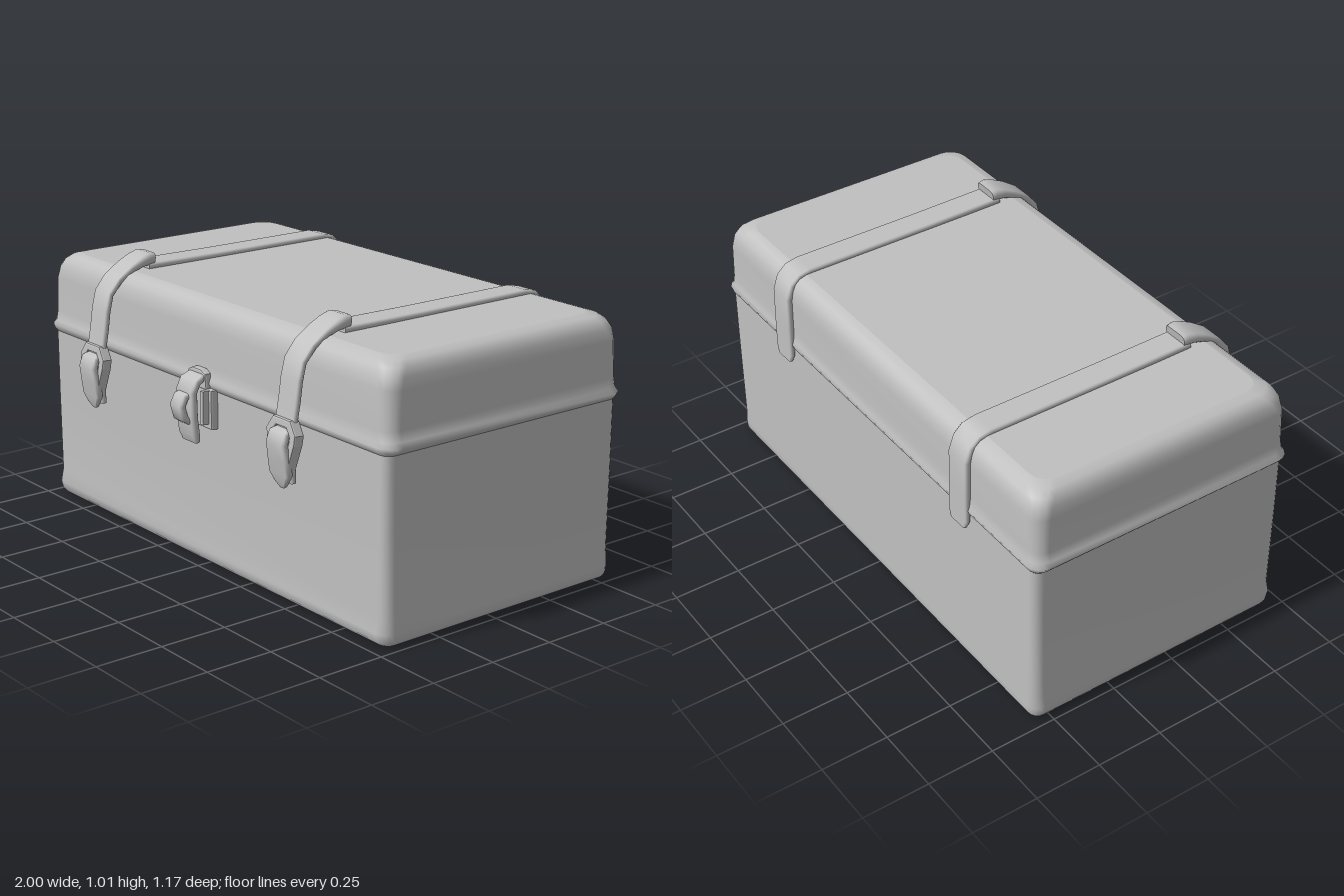
import * as THREE from 'three';

const grey = new THREE.MeshStandardMaterial({ color: 0xc0c0c0 });
grey.name = 'plain grey';

// Skin over closed rings of points, with flat caps at both ends
function skin(rings) {
  const n = rings[0].length, pos = [], idx = [];
  rings.forEach(r => r.forEach(p => pos.push(p.x, p.y, p.z)));
  for (let i = 0; i < rings.length - 1; i++) {
    for (let j = 0; j < n; j++) {
      const a = i * n + j, b = i * n + (j + 1) % n;
      idx.push(a, b, a + n, b, b + n, a + n);
    }
  }
  [rings[0], rings[rings.length - 1]].forEach((r, end) => {
    const base = pos.length / 3;
    const c = r.reduce((s, p) => s.add(p), new THREE.Vector3()).divideScalar(n);
    [...r, c].forEach(p => pos.push(p.x, p.y, p.z));
    for (let j = 0; j < n; j++) {
      const a = base + j, b = base + (j + 1) % n;
      if (end) idx.push(a, b, base + n);
      else idx.push(b, a, base + n);
    }
  });
  const g = new THREE.BufferGeometry();
  g.setAttribute('position', new THREE.Float32BufferAttribute(pos, 3));
  g.setIndex(idx);
  g.computeVertexNormals();
  return g;
}

// Rounded rectangle, counter-clockwise in (u, v)
function roundedRect(hu, hv, r, steps) {
  const out = [];
  [[1, 1], [-1, 1], [-1, -1], [1, -1]].forEach(([su, sv], q) => {
    for (let k = 0; k <= steps; k++) {
      const a = (q + k / steps) * Math.PI / 2;
      out.push([su * (hu - r) + r * Math.cos(a), sv * (hv - r) + r * Math.sin(a)]);
    }
  });
  return out;
}

// Box-like shell from levels of [y, half width, back z, front z, corner radius]
function shell(levels) {
  return skin(levels.map(([y, hx, z0, z1, r]) =>
    roundedRect(hx, (z1 - z0) / 2, r, 4).map(([u, v]) =>
      new THREE.Vector3(u, y, (z0 + z1) / 2 - v))));
}

// Band swept through [z, y, half width, half thickness] in the side plane
function band(path) {
  return skin(path.map(([z, y, w, t], i) => {
    const a = path[Math.max(i - 1, 0)], b = path[Math.min(i + 1, path.length - 1)];
    const l = Math.hypot(b[0] - a[0], b[1] - a[1]);
    const nz = -(b[1] - a[1]) / l, ny = (b[0] - a[0]) / l;
    return roundedRect(w, t, t * 0.8, 3).map(([u, v]) =>
      new THREE.Vector3(u, y + ny * v, z + nz * v));
  }));
}

function add(parent, name, geometry, x = 0, y = 0, z = 0) {
  const m = new THREE.Mesh(geometry, grey);
  m.name = name;
  m.position.set(x, y, z);
  parent.add(m);
  return m;
}

// Softly bevelled plate in the front plane, centred in depth
function plate(points, depth, hole) {
  const s = new THREE.Shape(points.map(p => new THREE.Vector2(...p)));
  if (hole) s.holes.push(new THREE.Path(hole.map(p => new THREE.Vector2(...p))));
  const b = 0.006;
  return new THREE.ExtrudeGeometry(s, {
    depth: depth - 2 * b, bevelThickness: b, bevelSize: b, bevelOffset: -b, bevelSegments: 2,
  }).translate(0, 0, b - depth / 2);
}

export function createModel() {
  const chest = new THREE.Group();
  chest.name = 'chest';

  // Lower box with a slightly swollen foot
  add(chest, 'box', shell([
    [0, 0.945, -0.535, 0.43, 0.03], [0.006, 0.968, -0.557, 0.452, 0.035],
    [0.02, 0.976, -0.565, 0.464, 0.04], [0.05, 0.98, -0.567, 0.471, 0.045],
    [0.1, 0.974, -0.565, 0.462, 0.04], [0.4, 0.974, -0.565, 0.462, 0.035],
    [0.66, 0.974, -0.565, 0.462, 0.035],
  ]));

  // Lid flaring to a thin rim, with rounded shoulders
  add(chest, 'lid', shell([
    [0.652, 0.974, -0.565, 0.462, 0.035], [0.662, 0.985, -0.572, 0.47, 0.045],
    [0.678, 0.998, -0.578, 0.476, 0.06], [0.695, 0.985, -0.571, 0.468, 0.055],
    [0.73, 0.979, -0.566, 0.462, 0.05], [0.86, 0.977, -0.565, 0.46, 0.055],
    [0.9, 0.972, -0.56, 0.453, 0.06], [0.928, 0.96, -0.548, 0.44, 0.065],
    [0.945, 0.94, -0.528, 0.422, 0.065], [0.953, 0.91, -0.5, 0.39, 0.065],
  ]));

  // Two straps over the lid, hanging in front into buckles
  [-0.565, 0.555].forEach((x, i) => {
    const strap = new THREE.Group();
    strap.name = i ? 'leftStrap' : 'rightStrap';
    strap.position.x = x;
    chest.add(strap);

    add(strap, 'strapBand', band([
      [-0.579, 0.6, 0.04, 0.008], [-0.576, 0.63, 0.052, 0.01], [-0.574, 0.75, 0.052, 0.012],
      [-0.572, 0.87, 0.052, 0.012], [-0.555, 0.92, 0.052, 0.012], [-0.525, 0.948, 0.052, 0.012],
      [-0.48, 0.957, 0.052, 0.012], [0, 0.958, 0.052, 0.012], [0.33, 0.962, 0.052, 0.012],
    ]));
    add(strap, 'frontStrap', band([
      [0.302, 0.985, 0.05, 0.022], [0.32, 0.988, 0.054, 0.023], [0.355, 0.98, 0.054, 0.018],
      [0.4, 0.962, 0.052, 0.013], [0.455, 0.927, 0.051, 0.012], [0.495, 0.88, 0.05, 0.011],
      [0.51, 0.82, 0.05, 0.011], [0.52, 0.75, 0.05, 0.011], [0.533, 0.68, 0.05, 0.011],
      [0.543, 0.63, 0.05, 0.011], [0.54, 0.56, 0.048, 0.012], [0.535, 0.48, 0.045, 0.011],
    ]));

    // Buckle frame, and the tongue folded through it
    const frame = [[-0.045, 0.07], [-0.076, 0.025], [-0.072, -0.01], [-0.048, -0.09],
      [0.048, -0.09], [0.072, -0.01], [0.076, 0.025], [0.045, 0.07]];
    const hole = frame.map(([a, b]) => [a * 0.6, b * 0.6]).reverse();
    const buckle = add(strap, 'buckleFrame', plate(frame, 0.04, hole), 0, 0.625, 0.54);
    buckle.rotation.x = -0.08;
    add(strap, 'buckleTongue', band([
      [0.535, 0.655, 0.04, 0.012], [0.562, 0.645, 0.046, 0.014], [0.572, 0.615, 0.048, 0.013],
      [0.562, 0.56, 0.052, 0.014], [0.556, 0.51, 0.052, 0.013], [0.55, 0.478, 0.03, 0.011],
      [0.545, 0.46, 0.012, 0.008],
    ]));
  });

  // Centre latch: back plates, hinged hasp and staple
  const latch = new THREE.Group();
  latch.name = 'latch';
  latch.position.x = -0.005;
  chest.add(latch);
  add(latch, 'latchPlate', plate(
    [[-0.085, -0.07], [0.085, -0.07], [0.085, 0.07], [-0.085, 0.07]], 0.035), 0, 0.59, 0.473);
  add(latch, 'hingePlate', plate(
    [[-0.055, -0.03], [0.055, -0.03], [0.05, 0.025], [0.025, 0.037], [-0.025, 0.037], [-0.05, 0.025]],
    0.03), 0, 0.687, 0.475);
  add(latch, 'hasp', band([
    [0.482, 0.7, 0.045, 0.012], [0.515, 0.685, 0.05, 0.014], [0.532, 0.65, 0.05, 0.014],
    [0.53, 0.56, 0.05, 0.014], [0.523, 0.5, 0.05, 0.014], [0.515, 0.47, 0.044, 0.01],
  ]));
  add(latch, 'staple', band([
    [0.52, 0.645, 0.03, 0.01], [0.555, 0.635, 0.034, 0.014], [0.57, 0.605, 0.036, 0.013],
    [0.558, 0.56, 0.034, 0.013], [0.53, 0.54, 0.03, 0.01],
  ]));
  [-1, 1].forEach(s => add(latch, 'latchCheek',
    new THREE.BoxGeometry(0.016, 0.12, 0.04), s * 0.064, 0.6, 0.495));

  return chest;
}
